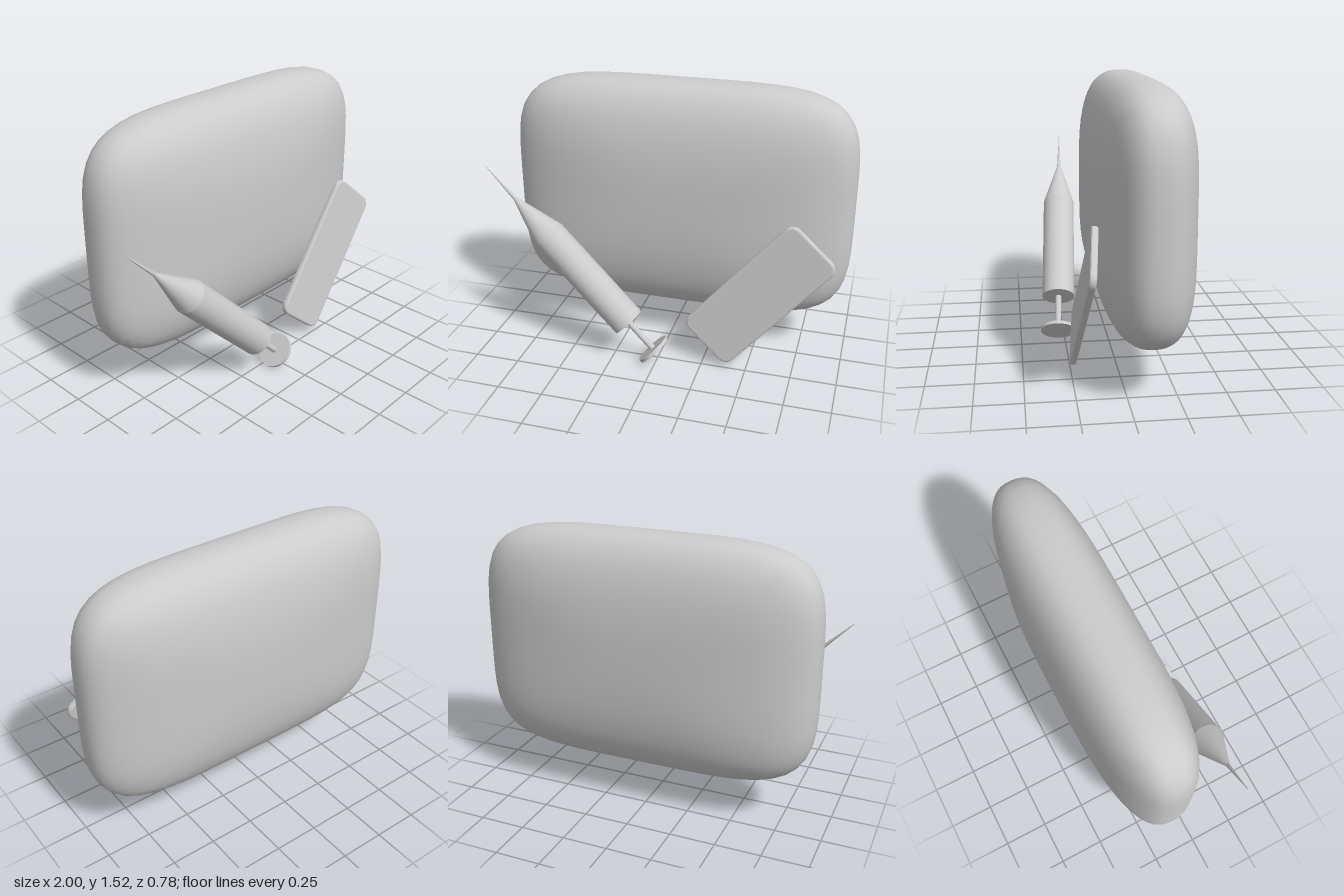
import * as THREE from 'three';
import { mergeVertices } from 'three/addons/utils/BufferGeometryUtils.js';

const material = new THREE.MeshStandardMaterial({ color: 0xcccccc });

function addMesh(parent, name, geometry) {
  const mesh = new THREE.Mesh(geometry, material);
  mesh.name = name;
  parent.add(mesh);
  return mesh;
}

// Plump cushion: a cube projected onto a superellipsoid
function pillowGeometry(w, h, d, corner, edge) {
  let geo = new THREE.BoxGeometry(2, 2, 2, 16, 16, 16);
  geo.deleteAttribute('normal');
  geo.deleteAttribute('uv');
  geo = mergeVertices(geo);
  const pos = geo.attributes.position;
  const v = new THREE.Vector3();
  for (let i = 0; i < pos.count; i++) {
    v.fromBufferAttribute(pos, i);
    const rim = Math.pow(Math.abs(v.x) ** corner + Math.abs(v.y) ** corner, 1 / corner);
    const size = Math.pow(rim ** edge + Math.abs(v.z) ** edge, 1 / edge);
    v.divideScalar(size);
    pos.setXYZ(i, v.x * w, v.y * h, v.z * d);
  }
  geo.computeVertexNormals();
  return geo;
}

// Slab with rounded corners and softened edges, centred on its origin
function slabGeometry(w, h, t, r, bevel) {
  const x = w / 2 - bevel, y = h / 2 - bevel;
  const shape = new THREE.Shape();
  shape.absarc(x - r, y - r, r, 0, Math.PI / 2);
  shape.absarc(-x + r, y - r, r, Math.PI / 2, Math.PI);
  shape.absarc(-x + r, -y + r, r, Math.PI, Math.PI * 1.5);
  shape.absarc(x - r, -y + r, r, Math.PI * 1.5, Math.PI * 2);
  shape.closePath();
  const geo = new THREE.ExtrudeGeometry(shape, {
    depth: t - 2 * bevel, bevelEnabled: true, bevelSize: bevel,
    bevelThickness: bevel, bevelSegments: 3, curveSegments: 6,
  });
  geo.translate(0, 0, -t / 2 + bevel);
  return geo;
}

export function createModel() {
  const model = new THREE.Group();
  model.name = 'pillowWithSyringeAndCard';

  const pillow = addMesh(model, 'pillow', pillowGeometry(0.955, 0.655, 0.267, 4.75, 2.6));
  pillow.position.set(0.043, 0.875, -0.122);

  // Syringe: built along +y from the needle tip, then laid along its axis
  const syringe = new THREE.Group();
  syringe.name = 'syringe';
  const tip = new THREE.Vector3(-1, 1.06, 0.21);
  const axis = new THREE.Vector3(0.99, -0.98, 0.08).normalize();
  syringe.position.copy(tip);
  syringe.quaternion.setFromUnitVectors(new THREE.Vector3(0, 1, 0), axis);
  model.add(syringe);
  // name, start, end, start radius, end radius
  const sections = [
    ['needle', 0, 0.25, 0.001, 0.011],
    ['nozzle', 0.25, 0.528, 0.011, 0.093],
    ['barrel', 0.528, 1.18, 0.093, 0.093],
    ['plungerRod', 1.17, 1.385, 0.017, 0.017],
    ['plungerDisc', 1.38, 1.398, 0.099, 0.099],
  ];
  for (const [name, a, b, r0, r1] of sections) {
    const part = addMesh(syringe, name, new THREE.CylinderGeometry(r1, r0, b - a, 32));
    part.position.y = (a + b) / 2;
  }

  // Card leaning against the pillow
  const card = addMesh(model, 'card', slabGeometry(0.345, 0.865, 0.036, 0.045, 0.012));
  const up = new THREE.Vector3(0.55, 0.63, -0.055).normalize();
  const out = new THREE.Vector3(0.24, -0.22, 0.035).cross(up).normalize();
  const side = up.clone().cross(out);
  card.quaternion.setFromRotationMatrix(new THREE.Matrix4().makeBasis(side, up, out));
  card.position.set(0.545, 0.456, 0.195);

  return model;
}
